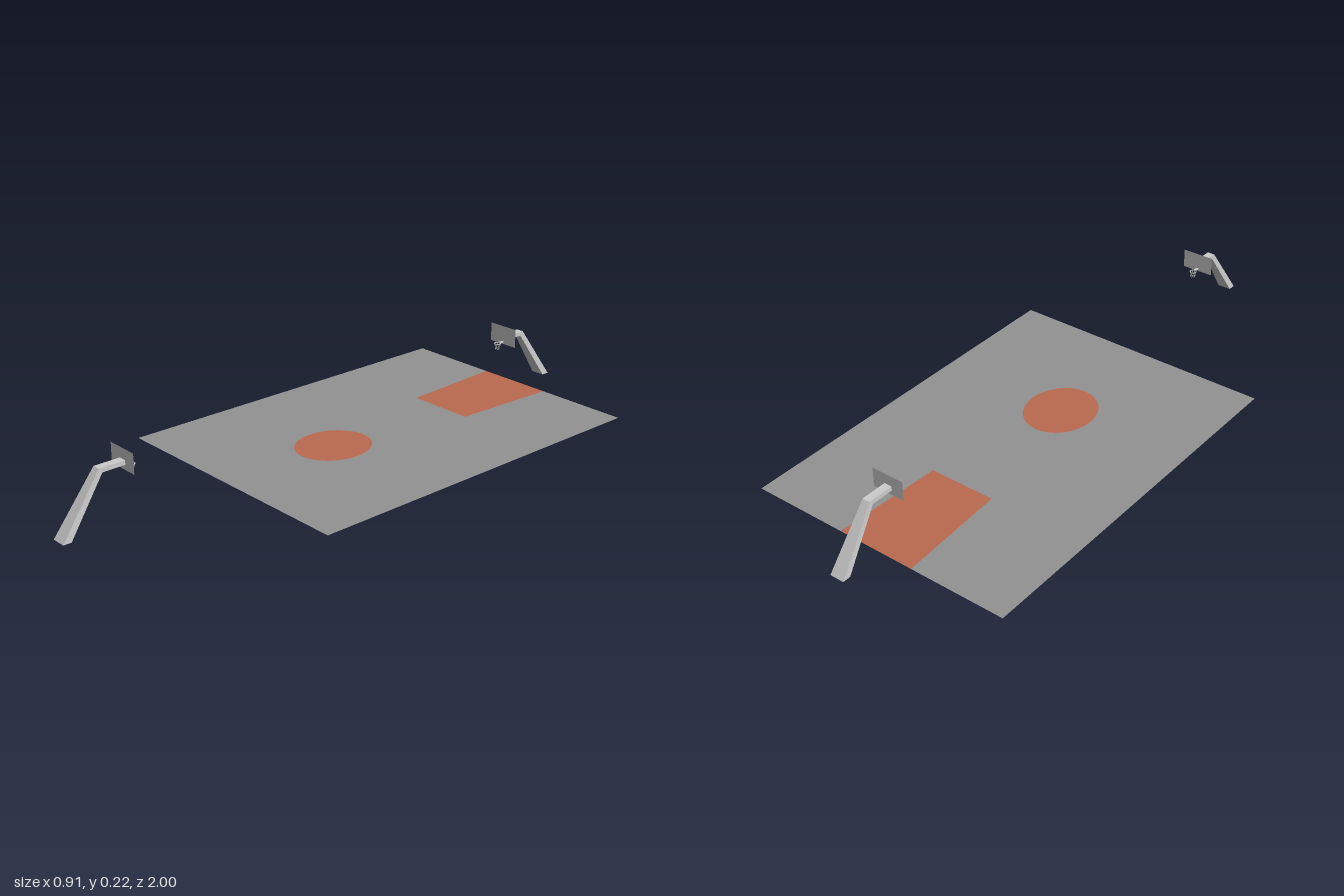
import * as THREE from 'three';

const flat = (name, color, side = THREE.FrontSide) => {
  const m = new THREE.MeshStandardMaterial({ color, side });
  m.name = name;
  return m;
};

// Bar lofted through rectangles: each section is [halfWidth, [outerY, outerZ], [innerY, innerZ]]
function loftBar(sections) {
  const pos = [], idx = [];
  for (const [w, o, i] of sections) {
    pos.push(-w, ...o, w, ...o, w, ...i, -w, ...i);
  }
  for (let s = 0; s < sections.length - 1; s++) {
    for (let k = 0; k < 4; k++) {
      const a = s * 4 + k, b = s * 4 + (k + 1) % 4;
      idx.push(a, b, b + 4, a, b + 4, a + 4);
    }
  }
  const e = (sections.length - 1) * 4;
  idx.push(0, 2, 1, 0, 3, 2, e, e + 1, e + 2, e, e + 2, e + 3);
  const indexed = new THREE.BufferGeometry();
  indexed.setAttribute('position', new THREE.Float32BufferAttribute(pos, 3));
  indexed.setIndex(idx);
  const g = indexed.toNonIndexed();
  g.computeVertexNormals();
  return g;
}

export function createModel() {
  const model = new THREE.Group();
  model.name = 'basketballCourt';
  const floorGrey = flat('floorGrey', 0x929292, THREE.DoubleSide);
  const paintOrange = flat('paintOrange', 0xbb694f, THREE.DoubleSide);
  const lightGrey = flat('lightGrey', 0xcccccc, THREE.DoubleSide);

  const add = (parent, name, geometry, material) => {
    const mesh = new THREE.Mesh(geometry, material);
    mesh.name = name;
    parent.add(mesh);
    return mesh;
  };

  // Court outlines in x and -z, laid flat on the ground
  const outline = (...pts) => pts.map(([x, z]) => new THREE.Vector2(x, -z));
  const keyPts = outline([-0.133, -0.85], [-0.113, -0.48], [0.113, -0.48], [0.133, -0.85]);
  const circlePts = Array.from({ length: 32 }, (_, i) => {
    const a = i / 32 * Math.PI * 2;
    return new THREE.Vector2(0.113 * Math.cos(a), 0.13 * Math.sin(a));
  });
  const floor = new THREE.Shape(outline([-0.455, -0.85], [-0.455, 0.425], [0.455, 0.425],
    [0.455, -0.85], [0.133, -0.85], [0.113, -0.48], [-0.113, -0.48], [-0.133, -0.85]));
  floor.holes.push(new THREE.Path(circlePts));
  const lay = (shape) => new THREE.ShapeGeometry(shape).rotateX(-Math.PI / 2);
  add(model, 'courtFloor', lay(floor), floorGrey);
  add(model, 'keyArea', lay(new THREE.Shape(keyPts)), paintOrange);
  add(model, 'centreCircle', lay(new THREE.Shape(circlePts)), paintOrange);

  // One hoop at each end
  ['frontHoop', 'backHoop'].forEach((name, n) => {
    const hoop = new THREE.Group();
    hoop.name = name;
    hoop.rotation.y = n * Math.PI;
    model.add(hoop);

    // Tapered leaning post with a level arm
    add(hoop, 'post', loftBar([
      [0.024, [0, 1], [0, 0.973]],
      [0.013, [0.184, 0.866], [0.17, 0.855]],
      [0.013, [0.184, 0.78], [0.17, 0.78]],
    ]), lightGrey);

    add(hoop, 'backboard', new THREE.PlaneGeometry(0.11, 0.064), lightGrey)
      .position.set(0, 0.186, 0.78);

    // Rim and its bracket
    add(hoop, 'rimBracket', new THREE.BoxGeometry(0.008, 0.004, 0.017), lightGrey)
      .position.set(0, 0.162, 0.7715);
    add(hoop, 'rim', new THREE.TorusGeometry(0.011, 0.0015, 6, 16).rotateX(Math.PI / 2), lightGrey)
      .position.set(0, 0.162, 0.753);

    // Net of crossing strands
    for (let i = 0; i < 16; i++) {
      const a = (i >> 1) * Math.PI / 4;
      const b = a + (i % 2 ? 1 : -1) * Math.PI / 4;
      const top = new THREE.Vector3(0.011 * Math.cos(a), 0.162, 0.753 + 0.011 * Math.sin(a));
      const end = new THREE.Vector3(0.007 * Math.cos(b), 0.141, 0.753 + 0.007 * Math.sin(b));
      add(hoop, 'netStrand', new THREE.TubeGeometry(new THREE.LineCurve3(top, end), 1, 0.0006, 4), lightGrey);
    }
  });

  return model;
}
